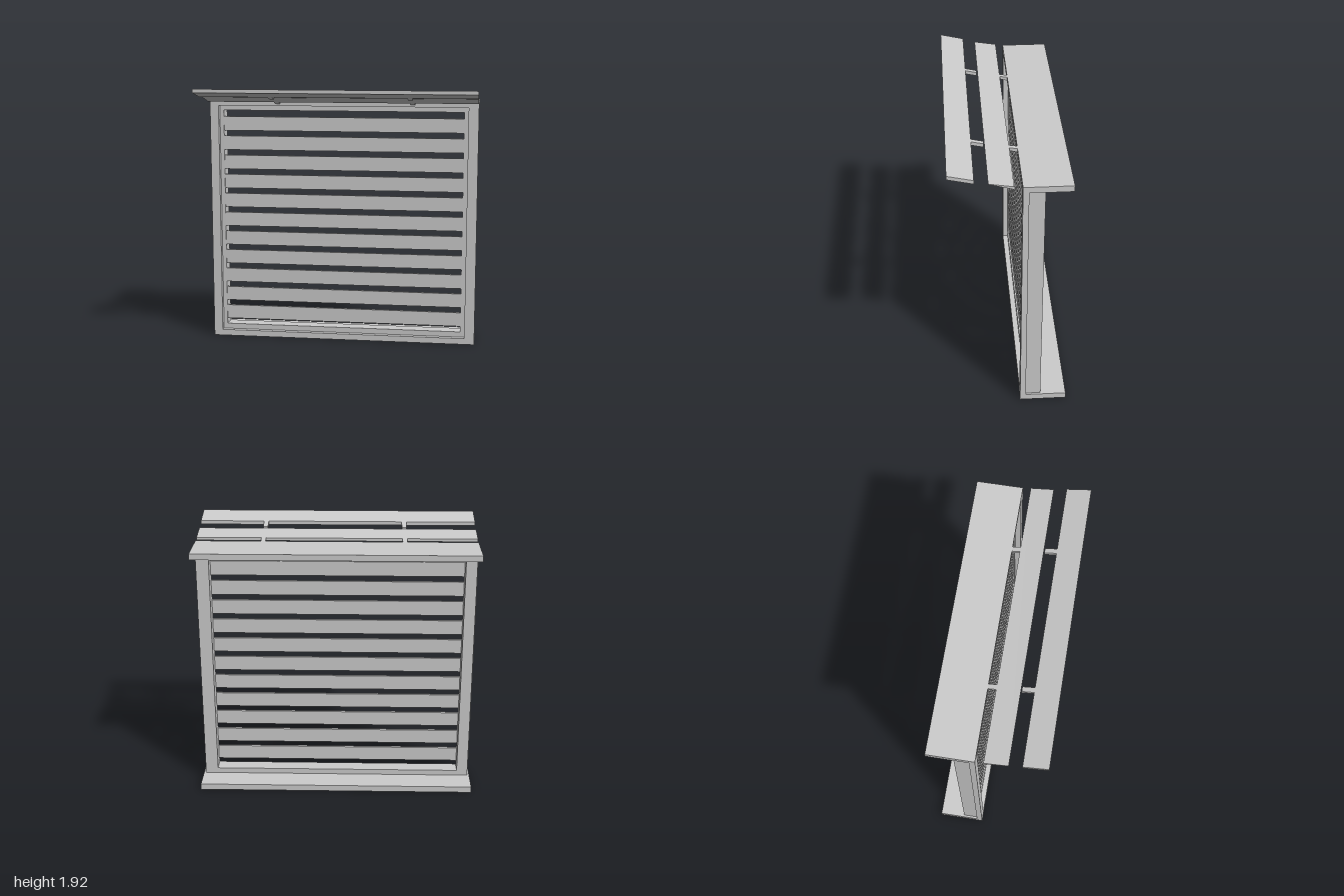
import * as THREE from 'three';

export function createModel() {
  const model = new THREE.Group();
  const material = new THREE.MeshStandardMaterial({ color: 0xcccccc, flatShading: true });

  function add(name, geometry) {
    const mesh = new THREE.Mesh(geometry, material);
    mesh.name = name;
    model.add(mesh);
    return mesh;
  }

  // Box given by its extents on each axis
  function box(name, x0, x1, y0, y1, z0, z1) {
    const mesh = add(name, new THREE.BoxGeometry(x1 - x0, y1 - y0, z1 - z0));
    mesh.position.set((x0 + x1) / 2, (y0 + y1) / 2, (z0 + z1) / 2);
  }

  // Rectangular ring in the xy plane: outer and inner are [x0, x1, y0, y1]
  function ring(name, outer, inner, z0, z1) {
    const corners = ([x0, x1, y0, y1]) =>
      [[x0, y0], [x1, y0], [x1, y1], [x0, y1]].map(p => new THREE.Vector2(...p));
    const shape = new THREE.Shape(corners(outer));
    shape.holes.push(new THREE.Path(corners(inner)));
    const geometry = new THREE.ExtrudeGeometry(shape, { depth: z1 - z0, bevelEnabled: false });
    add(name, geometry.translate(0, 0, z0));
  }

  // Side profile of [z, y] points, extruded along x
  function profile(name, points, x0, x1) {
    const shape = new THREE.Shape(points.map(([z, y]) => new THREE.Vector2(-z, y)));
    const geometry = new THREE.ExtrudeGeometry(shape, { depth: x1 - x0, bevelEnabled: false });
    geometry.rotateY(Math.PI / 2).translate(x0, 0, 0);
    add(name, geometry);
  }

  // Front trim, with an inset frame behind it
  ring('frontTrim', [-1, 1, 0, 1.82], [-0.935, 0.925, 0.045, 1.777], -0.115, -0.075);
  ring('innerFrame', [-0.985, 0.985, 0.045, 1.777], [-0.905, 0.893, 0.085, 1.74], -0.22, -0.115);

  // Sill and head boards reaching backwards
  box('sillBoard', -1, 1, 0, 0.045, -0.4, -0.115);
  box('headBoard', -1, 1, 1.777, 1.82, -0.4, -0.115);

  // Horizontal slats, evenly spaced
  const pitch = 0.146;
  for (let i = 0; i < 11; i++) {
    const y = 0.127 + i * pitch;
    box('slat', -0.905, 0.893, y, y + 0.105, -0.138, -0.12);
  }

  // Sloping awning: top and bottom heights along z for both planks
  const outerTop = z => 1.922 - 0.224 * (0.4 - z);
  const outerBottom = z => outerTop(z) - 0.026;
  const innerTop = z => 1.82 + 0.16 * (z + 0.075);
  const innerBottom = z => 1.793 + 0.27 * (z + 0.075);
  const section = (z0, z1, top, bottom) =>
    [[z0, bottom(z0)], [z1, bottom(z1)], [z1, top(z1)], [z0, top(z0)]];

  profile('outerPlank', section(0.23, 0.4, outerTop, outerBottom), -1, 1);
  profile('innerPlank', section(-0.02, 0.142, innerTop, innerBottom), -1, 1);
  for (const x of [-0.5, 0.503]) {
    profile('outerBracket', section(0.148, 0.23, outerTop, outerBottom), x, x + 0.034);
    profile('innerBracket', section(-0.075, -0.02, innerTop, innerBottom), x, x + 0.034);
  }

  return model;
}
